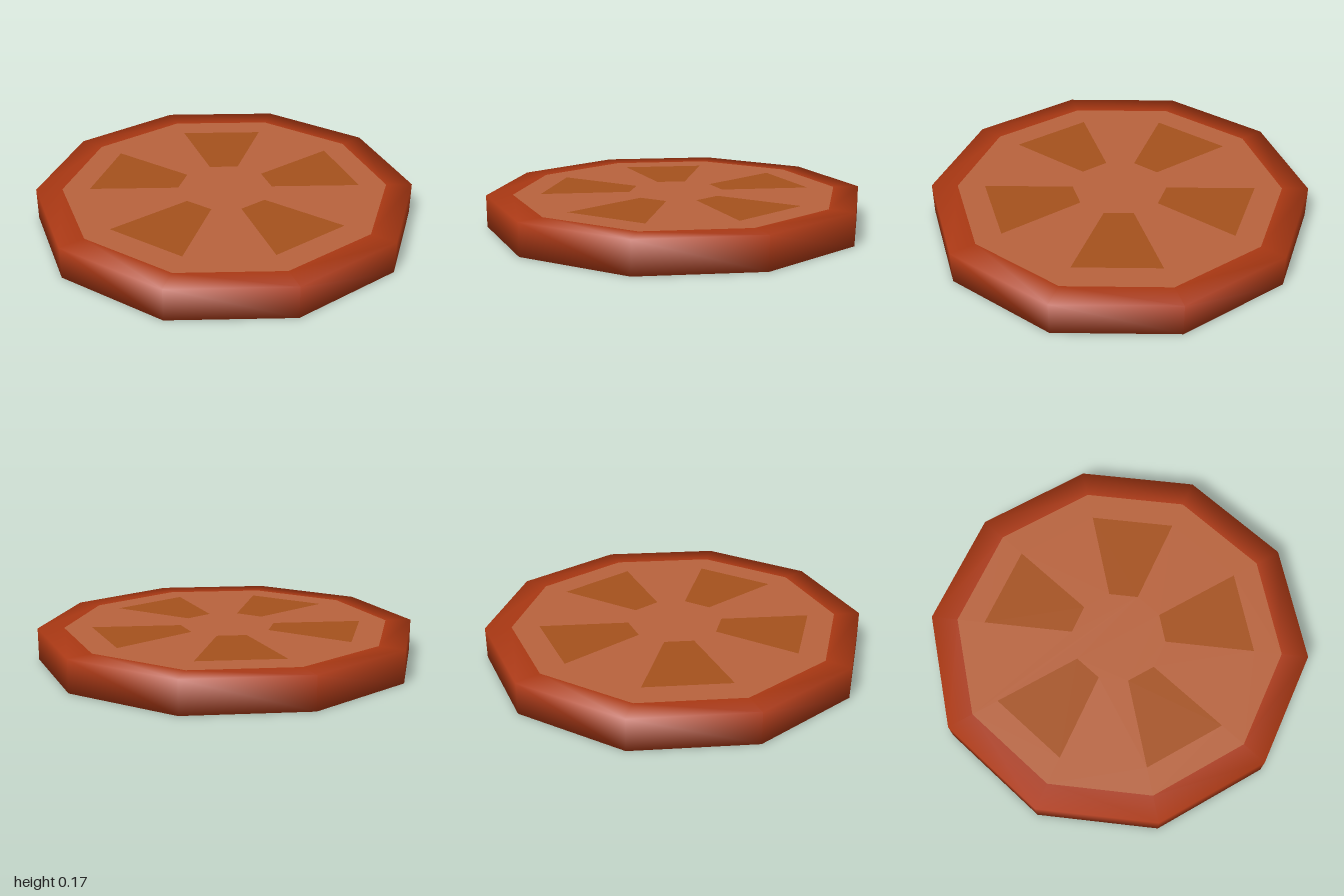
import * as THREE from 'three';

const H = 0.17, R = 1.005, INNER = 0.866, SIDES = 10;
const SEED_IN = 0.25, SEED_OUT = 0.72;
const rad = THREE.MathUtils.degToRad;
const OFFSET = 24; // angle of a corner, measured from +x towards +z

const polar = (r, deg, sign) =>
  new THREE.Vector2(r * Math.cos(rad(deg)), sign * r * Math.sin(rad(deg)));

// Lay a flat shape at the top (sign -1) or bottom (sign 1) of the slice
function layFlat(shapes, sign) {
  const geo = new THREE.ShapeGeometry(shapes);
  geo.rotateX(sign * Math.PI / 2);
  geo.translate(0, sign < 0 ? H : 0, 0);
  return geo;
}

export function createModel() {
  const group = new THREE.Group();
  const material = (color) => new THREE.MeshStandardMaterial({ color });
  const skinMat = material(0xaa3813);
  const fleshMat = material(0xb8633d);
  const seedMat = material(0xa5511d);

  const add = (name, geo, mat) => {
    const mesh = new THREE.Mesh(geo, mat);
    mesh.name = name;
    group.add(mesh);
  };

  // Skin: ten-sided ring with softly shaded edges
  const profile = [[INNER, 0], [R, 0], [R, H], [INNER, H]].map((p) => new THREE.Vector2(...p));
  add('skin', new THREE.LatheGeometry(profile, SIDES, rad(90 - OFFSET)), skinMat);

  // Flesh with five wedge-shaped seed pockets, on both faces
  for (const [side, sign] of [['top', -1], ['bottom', 1]]) {
    const corners = Array.from({ length: SIDES }, (_, i) => polar(INNER, OFFSET + i * 36, sign));
    const flesh = new THREE.Shape(corners);
    const pockets = [];
    for (let i = 0; i < 5; i++) {
      const a = OFFSET + i * 72, b = a + 36;
      const wedge = [
        polar(SEED_IN, a, sign), polar(SEED_OUT, a, sign),
        polar(SEED_OUT, b, sign), polar(SEED_IN, b, sign),
      ];
      flesh.holes.push(new THREE.Path(wedge));
      pockets.push(new THREE.Shape(wedge));
    }
    add(side + 'Flesh', layFlat(flesh, sign), fleshMat);
    add(side + 'SeedPockets', layFlat(pockets, sign), seedMat);
  }
  return group;
}
